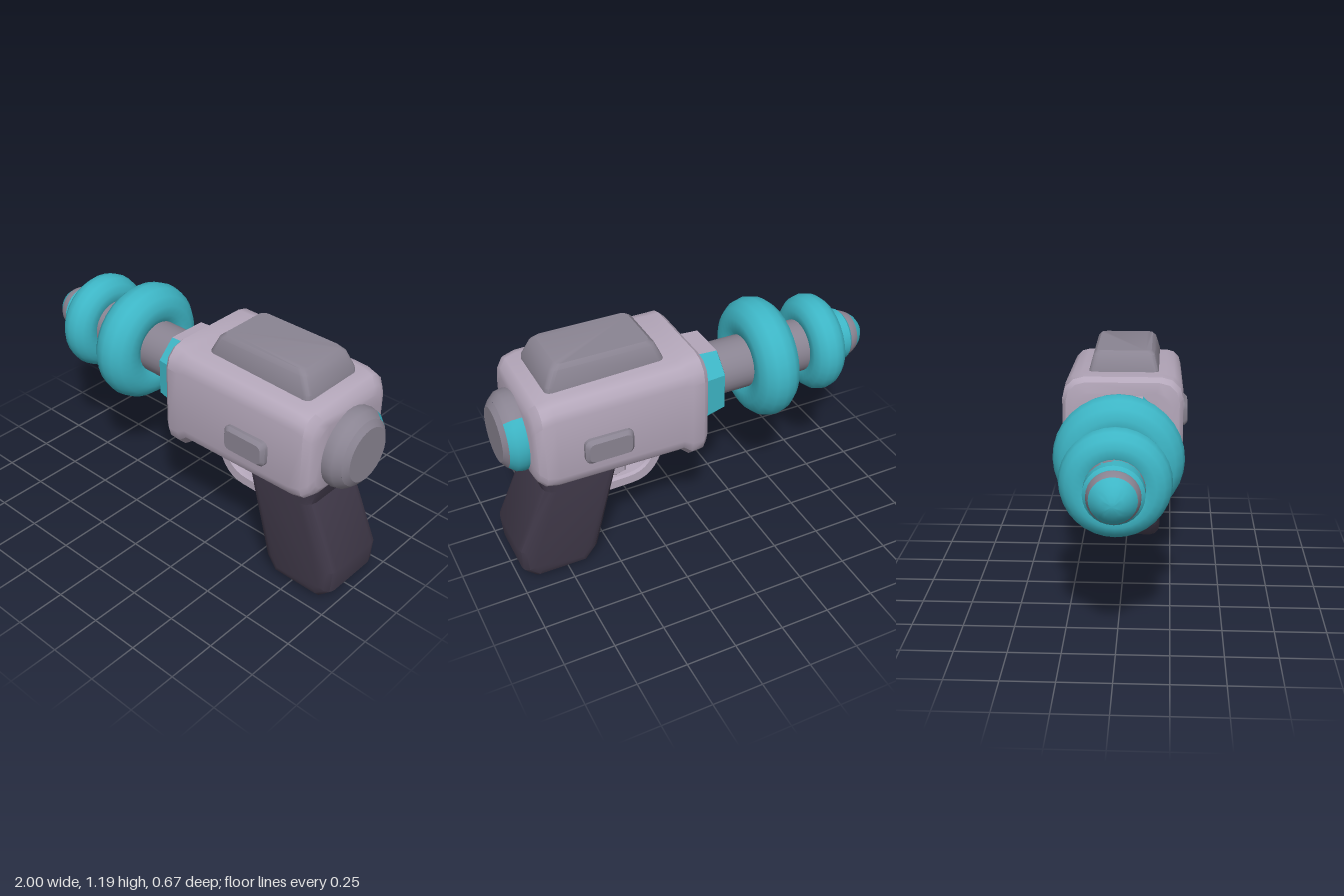
import * as THREE from 'three';
import { toCreasedNormals } from 'three/addons/utils/BufferGeometryUtils.js';

const material = (name, color, side = THREE.FrontSide) => {
  const m = new THREE.MeshStandardMaterial({ color, side });
  m.name = name;
  return m;
};

// Rounded-rectangle sections [x, centreY, halfY, halfZ, cornerRadius] skinned along x.
// Material group 0 is the skin, group 1 its top strip, group 2 the ends.
function loft(sections, steps = 3) {
  const n = 4 * (steps + 1), pos = [], idx = [];
  const signs = [[1, 1], [-1, 1], [-1, -1], [1, -1]];
  for (const [x, cy, hy, hz, r] of sections) {
    signs.forEach(([sy, sz], k) => {
      for (let s = 0; s <= steps; s++) {
        const a = (k + s / steps) * Math.PI / 2;
        pos.push(x, cy + sy * (hy - r) + r * Math.cos(a), sz * (hz - r) + r * Math.sin(a));
      }
    });
  }
  const rows = sections.length;
  for (let j = 0; j < n; j++) {
    const k = (j + 1) % n;
    for (let i = 0; i < rows - 1; i++) {
      const a = i * n + j, b = i * n + k, c = b + n, d = a + n;
      idx.push(a, b, d, b, c, d);
    }
  }
  const strip = 6 * (rows - 1), skin = strip * n;
  for (let j = 1; j < n - 1; j++) {
    const e = (rows - 1) * n;
    idx.push(0, j + 1, j, e, e + j, e + j + 1);
  }
  const g = new THREE.BufferGeometry();
  g.setAttribute('position', new THREE.Float32BufferAttribute(pos, 3));
  g.setIndex(idx);
  g.addGroup(0, skin - strip, 0);
  g.addGroup(skin - strip, strip, 1);
  g.addGroup(skin, idx.length - skin, 2);
  return toCreasedNormals(g, 0.6);
}

// Turned part about the x axis; profile [x, radius] runs from high x to low x.
function turned(profile, segments = 28, start = 0, length = Math.PI * 2) {
  const pts = profile.map(([x, r]) => new THREE.Vector2(r, -x));
  const g = new THREE.LatheGeometry(pts, segments, start, length);
  g.rotateZ(Math.PI / 2);
  return toCreasedNormals(g, 0.6);
}

// Side-view shape given thickness, centred on z, with bevels cut inside its outline.
function slab(shape, width, bevel, bevelSegments) {
  const g = new THREE.ExtrudeGeometry(shape, {
    depth: width - 2 * bevel, bevelEnabled: true, bevelSize: bevel, bevelThickness: bevel,
    bevelOffset: -bevel, bevelSegments, curveSegments: 8,
  });
  g.translate(0, 0, bevel - width / 2);
  return toCreasedNormals(g, 0.6);
}

const polygon = (pts) => new THREE.Shape(pts.map(([x, y]) => new THREE.Vector2(x, y)));

export function createModel() {
  const lilac = material('pale lilac', 0xb4a7ba);
  const grey = material('mid grey', 0x8a8492);
  const teal = material('teal', 0x3db5c5);
  const dark = material('dark plum', 0x3f3848);

  const model = new THREE.Group();
  const add = (name, geometry, mat, y = 0) => {
    const mesh = new THREE.Mesh(geometry, mat);
    mesh.name = name;
    mesh.position.y = y;
    model.add(mesh);
    return mesh;
  };

  // Body with a flared front end
  add('body', loft([
    [0.025, 0.835, 0.20, 0.25, 0.08],
    [0.035, 0.835, 0.25, 0.285, 0.10],
    [0.06, 0.832, 0.276, 0.303, 0.11],
    [0.12, 0.830, 0.276, 0.305, 0.11],
    [0.165, 0.850, 0.247, 0.305, 0.09],
    [0.79, 0.843, 0.234, 0.295, 0.08],
    [0.85, 0.840, 0.222, 0.288, 0.08],
    [0.88, 0.835, 0.195, 0.265, 0.08],
    [0.892, 0.83, 0.165, 0.235, 0.08],
  ]), [lilac, lilac, lilac]);

  // Raised block on top (lofted upwards)
  const block = add('topBlock', loft([
    [1.05, -0.495, 0.295, 0.18, 0.03],
    [1.10, -0.495, 0.29, 0.178, 0.03],
    [1.175, -0.492, 0.255, 0.157, 0.03],
    [1.195, -0.49, 0.23, 0.14, 0.03],
  ]), [grey, grey, grey]);
  block.rotation.z = Math.PI / 2;

  // Button on each side
  for (const side of [1, -1]) {
    const button = add(side > 0 ? 'frontButton' : 'backButton', loft([
      [0.27, 0, 0.065, 0.12, 0.03],
      [0.315, 0, 0.065, 0.12, 0.03],
      [0.333, 0, 0.05, 0.105, 0.025],
    ]), [grey, grey, grey], 0.802);
    button.rotation.y = -side * Math.PI / 2;
    button.position.x = 0.55;
  }

  // Faceted collar with a pale top strip
  add('collar', loft([
    [-0.115, 0.83, 0.165, 0.175, 0.085],
    [-0.105, 0.83, 0.182, 0.192, 0.09],
    [0.04, 0.815, 0.205, 0.203, 0.1],
  ], 1), [teal, lilac, teal]);

  // Barrel, rings and nose share one axis
  const axis = 0.838;
  add('barrel', turned([[-0.08, 0], [-0.08, 0.11], [-0.115, 0.11], [-0.13, 0.135],
    [-0.82, 0.135], [-0.82, 0]]), grey, axis);
  for (const [name, x, radius, tube] of [['largeRing', -0.395, 0.195, 0.113], ['smallRing', -0.71, 0.162, 0.09]]) {
    const ring = add(name, new THREE.TorusGeometry(radius, tube, 14, 32), teal, axis);
    ring.rotation.y = Math.PI / 2;
    ring.position.x = x;
  }
  add('noseCollar', turned([[-0.79, 0.12], [-0.80, 0.135], [-0.87, 0.135], [-0.885, 0.12], [-0.885, 0]]), teal, axis);
  add('noseBand', turned([[-0.87, 0.119], [-0.90, 0.119], [-0.93, 0.105]]), grey, axis);
  add('noseTip', turned([[-0.93, 0.105], [-0.96, 0.082], [-0.985, 0.05], [-0.997, 0.02], [-1, 0]]), teal, axis);

  // Rear cap: grey face and rim, with a teal arc on the far side
  const rim = [[0.978, 0.165], [0.945, 0.193], [0.91, 0.2], [0.87, 0.195]];
  const arc = 0.85;
  add('rearCapFace', turned([[1, 0], [1, 0.135], rim[0]]), grey, 0.81);
  add('rearCapRim', turned(rim, 22, Math.PI + arc, 2 * (Math.PI - arc)), grey, 0.81);
  add('rearCapArc', turned(rim, 8, Math.PI - arc, 2 * arc), teal, 0.81);

  // Slanted grip
  add('grip', slab(polygon([[0.423, 0.7], [0.585, 0.09], [0.65, 0.008], [0.915, 0.008], [0.98, 0.07],
    [0.99, 0.2], [0.84, 0.53], [0.86, 0.6], [0.88, 0.7]]), 0.38, 0.055, 3), dark);

  // Trigger guard with its opening
  const guard = new THREE.Shape();
  guard.moveTo(0.13, 0.64);
  guard.lineTo(0.15, 0.57);
  guard.bezierCurveTo(0.18, 0.42, 0.23, 0.325, 0.35, 0.325);
  guard.lineTo(0.56, 0.32);
  guard.lineTo(0.56, 0.64);
  const opening = new THREE.Path();
  opening.moveTo(0.24, 0.575);
  opening.lineTo(0.46, 0.585);
  opening.lineTo(0.51, 0.39);
  opening.lineTo(0.37, 0.395);
  opening.bezierCurveTo(0.28, 0.395, 0.22, 0.46, 0.24, 0.575);
  guard.holes.push(opening);
  add('triggerGuard', slab(guard, 0.15, 0.012, 1), lilac);

  // Trigger
  add('trigger', slab(polygon([[0.32, 0.62], [0.35, 0.54], [0.365, 0.47], [0.365, 0.40], [0.42, 0.385],
    [0.48, 0.41], [0.47, 0.62]]), 0.1, 0.012, 1), lilac);

  return model;
}
